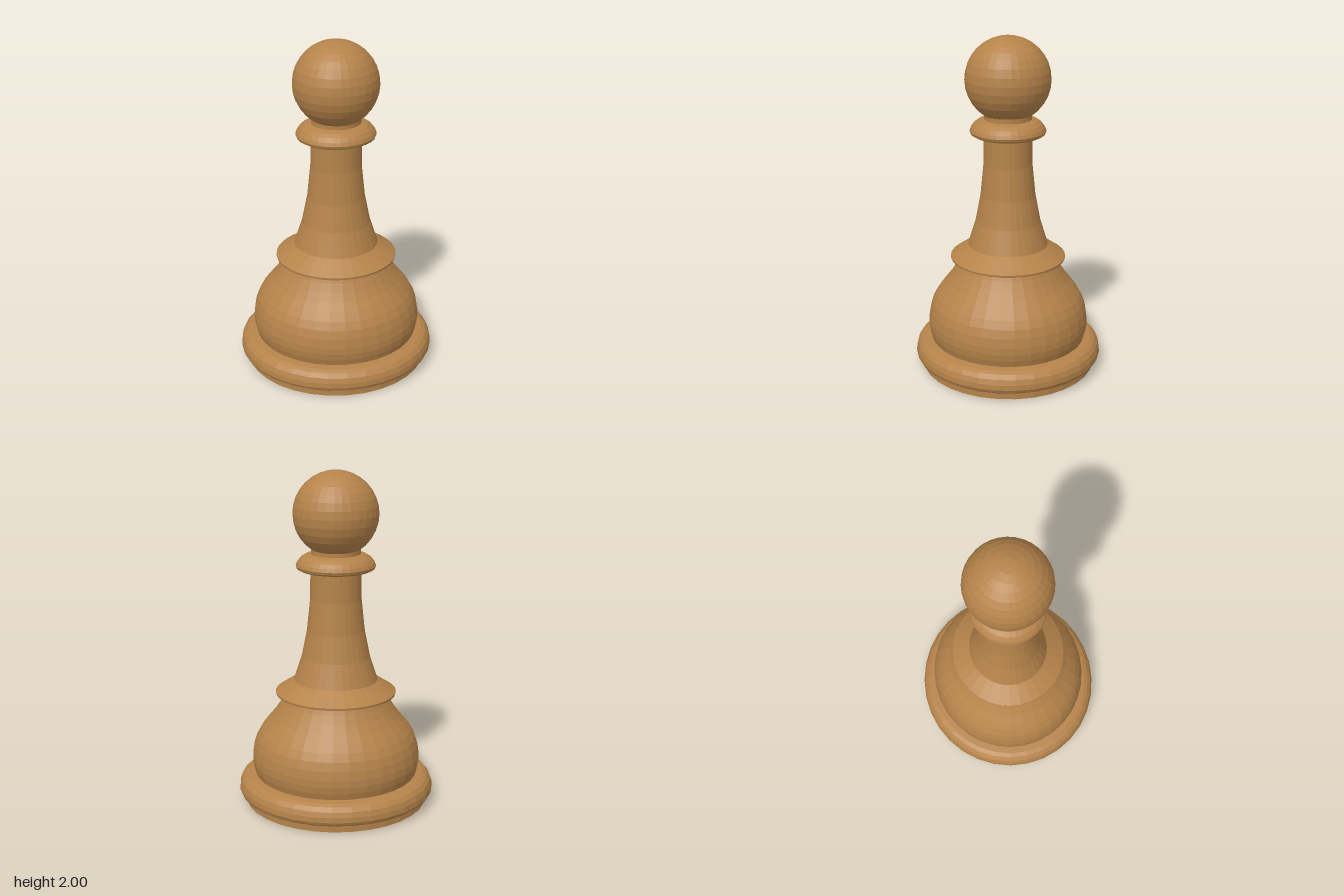
import * as THREE from 'three';

const SIDES = 32;
const DEPTH = 0.953; // turned parts are slightly narrower front to back

export function createModel() {
  const group = new THREE.Group();
  const wood = new THREE.MeshStandardMaterial({ color: 0xb5834a, flatShading: true });

  const add = (name, geometry) => {
    const mesh = new THREE.Mesh(geometry, wood);
    mesh.name = name;
    group.add(mesh);
    return mesh;
  };

  // Turned part from [radius, height] pairs, bottom to top
  const turned = (name, profile) => {
    const points = profile.map(([r, y]) => new THREE.Vector2(r, y));
    add(name, new THREE.LatheGeometry(points, SIDES)).scale.z = DEPTH;
  };

  // Foot disc with closed underside
  turned('foot', [[0, 0], [0.547, 0], [0.547, 0.042]]);

  // Rounded base moulding
  turned('baseRing', [
    [0.547, 0.042], [0.565, 0.046], [0.58, 0.057], [0.588, 0.075], [0.586, 0.105],
    [0.576, 0.135], [0.555, 0.158], [0.53, 0.17], [0.487, 0.175],
  ]);

  // Bell-shaped body
  turned('body', [
    [0.487, 0.175], [0.499, 0.215], [0.505, 0.255], [0.504, 0.295], [0.495, 0.35],
    [0.479, 0.4], [0.454, 0.445], [0.42, 0.49], [0.382, 0.535], [0.349, 0.582],
    [0.32, 0.63], [0.3, 0.672],
  ]);

  // Sloped collar with flat underside
  turned('collar', [[0.3, 0.672], [0.358, 0.672], [0.36, 0.685], [0.25, 0.757]]);

  // Tapering stem
  turned('stem', [
    [0.25, 0.757], [0.203, 0.9], [0.171, 1.06], [0.151, 1.25], [0.149, 1.42],
  ]);

  // Ring under the head, and the short neck above it
  turned('neckRing', [
    [0.149, 1.42], [0.21, 1.424], [0.228, 1.434], [0.234, 1.45], [0.226, 1.47],
    [0.208, 1.493], [0.183, 1.51], [0.145, 1.519],
  ]);
  turned('neck', [[0.145, 1.519], [0.145, 1.55]]);

  // Round head
  add('head', new THREE.SphereGeometry(0.25, SIDES, 16)).position.y = 1.75;

  return group;
}
